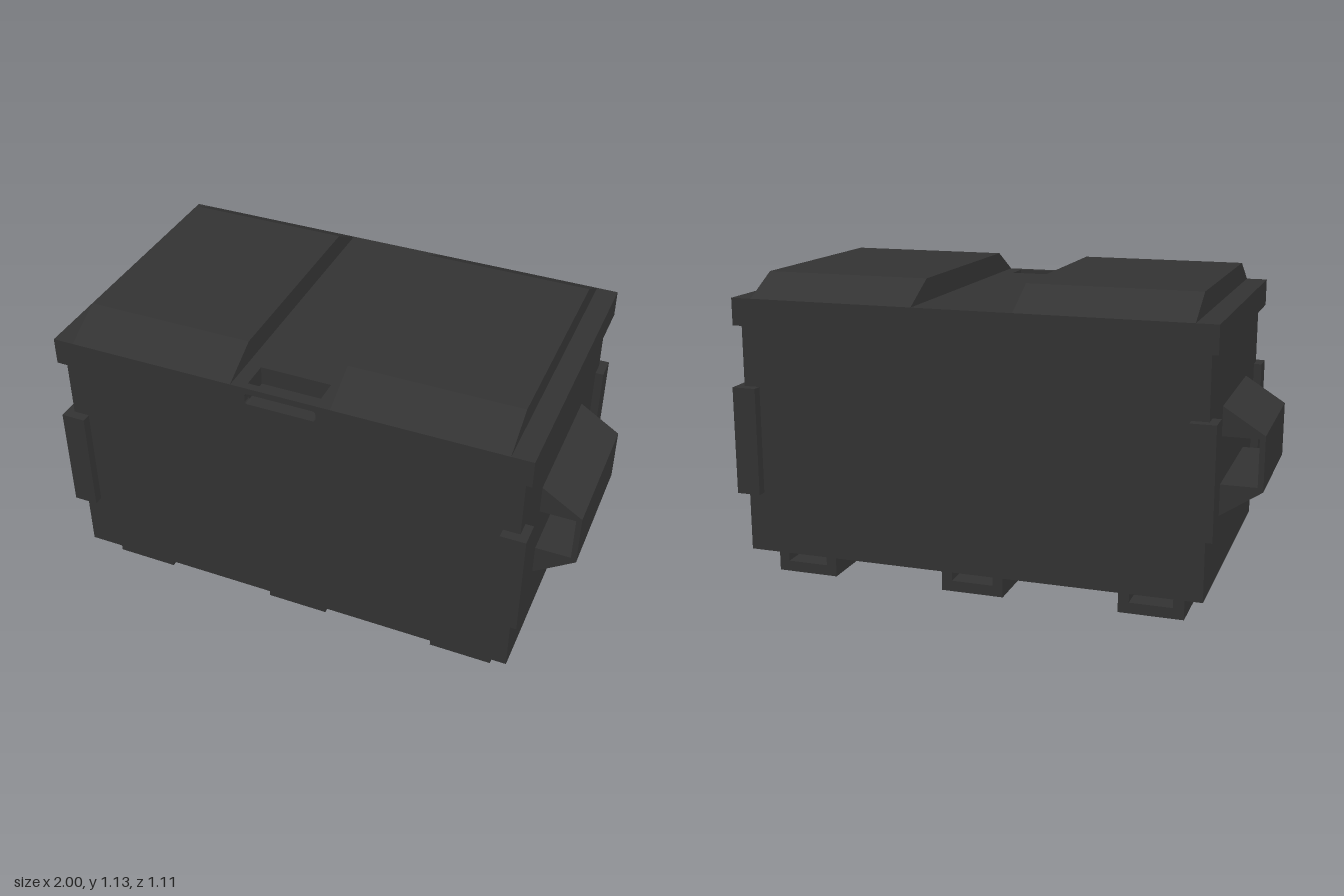
import * as THREE from 'three';

const paint = new THREE.MeshStandardMaterial({ color: 0x333333 });

// Straight extrusion centred on its own depth axis
function prism(points, depth, hole) {
  const shape = new THREE.Shape(points.map(([a, b]) => new THREE.Vector2(a, b)));
  if (hole) shape.holes.push(hole);
  const geo = new THREE.ExtrudeGeometry(shape, { depth, bevelEnabled: false, curveSegments: 4 });
  return geo.translate(0, 0, -depth / 2);
}

function roundedSlot(x, y0, y1, r) {
  const p = new THREE.Path();
  p.moveTo(-x + r, y0);
  p.lineTo(x - r, y0);
  p.quadraticCurveTo(x, y0, x, y0 + r);
  p.lineTo(x, y1 - r);
  p.quadraticCurveTo(x, y1, x - r, y1);
  p.lineTo(-x + r, y1);
  p.quadraticCurveTo(-x, y1, -x, y1 - r);
  p.lineTo(-x, y0 + r);
  p.quadraticCurveTo(-x, y0, -x + r, y0);
  return p;
}

export function createModel() {
  const model = new THREE.Group();
  model.name = 'dumpster';
  const add = (name, geo, x = 0, y = 0, z = 0) => {
    const mesh = new THREE.Mesh(geo, paint);
    mesh.name = name;
    mesh.position.set(x, y, z);
    model.add(mesh);
    return mesh;
  };

  // Container
  add('body', new THREE.BoxGeometry(1.7, 0.85, 1.04), 0, 0.525, 0);

  // Rim slab, notched at the front for the hand grip
  const rim = prism([
    [-0.875, -0.54], [0.875, -0.54], [0.875, 0.51], [0.13, 0.51], [0.13, 0.41],
    [-0.13, 0.41], [-0.13, 0.51], [-0.875, 0.51],
  ], 0.1);
  add('rim', rim.rotateX(Math.PI / 2), 0, 1, 0);

  // Front strip with the grip slot, and the floor of the grip recess
  const strip = [[-0.875, 0.95], [0.875, 0.95], [0.875, 1.05], [-0.875, 1.05]];
  add('rimFront', prism(strip, 0.03, roundedSlot(0.13, 0.985, 1.027, 0.012)), 0, 0, 0.525);
  add('gripFloor', new THREE.BoxGeometry(0.26, 0.03, 0.1), 0, 0.967, 0.46);

  // Raised lid panels
  const lidProfile = [[-0.54, 1.05], [0.54, 1.05], [0.39, 1.13], [-0.39, 1.13]];
  for (const side of [-1, 1]) {
    add(side > 0 ? 'leftLid' : 'rightLid',
      prism(lidProfile, 0.615).rotateY(Math.PI / 2), side * 0.49, 0, 0);
  }

  // Lifting sleeves, open front to back for the forks
  const sleeve = [
    [0.85, 0.325], [1, 0.425], [1, 0.625], [0.85, 0.72],
    [0.85, 0.613], [0.98, 0.613], [0.98, 0.44], [0.85, 0.44],
  ];
  for (const side of [-1, 1]) {
    const name = side > 0 ? 'leftForkSleeve' : 'rightForkSleeve';
    add(name, prism(sleeve, 0.52)).rotation.y = side > 0 ? 0 : Math.PI;
  }

  // Corner guards
  for (const x of [-0.835, 0.835]) {
    for (const z of [-0.51, 0.51]) {
      add('cornerGuard', new THREE.BoxGeometry(0.09, 0.4, 0.09), x, 0.525, z);
    }
  }

  // U-shaped skid channels
  const channel = [
    [-0.117, 0], [0.117, 0], [0.117, 0.1], [0.078, 0.1],
    [0.078, 0.04], [-0.078, 0.04], [-0.078, 0.1], [-0.117, 0.1],
  ];
  for (const x of [-0.658, 0, 0.658]) add('skid', prism(channel, 0.9), x);

  return model;
}
